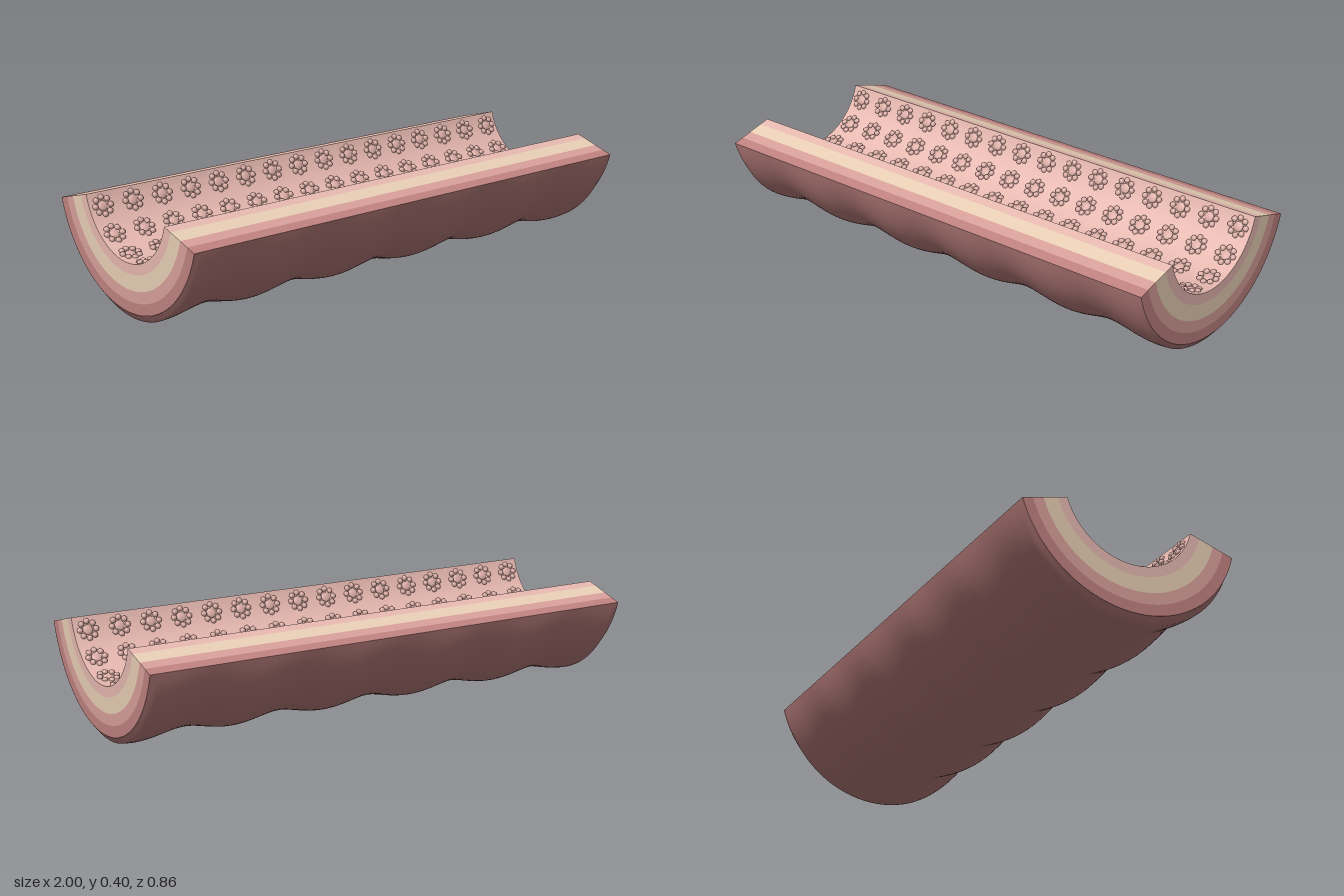
import * as THREE from 'three';
import { mergeGeometries, toCreasedNormals } from 'three/addons/utils/BufferGeometryUtils.js';

const CENTER_Y = 0.473;                       // axis height of the trough
const HALF = THREE.MathUtils.degToRad(74);    // half opening angle, measured from straight down
const OUTER = 0.445, INNER = 0.262;

const mat = (color) => new THREE.MeshStandardMaterial({ color });

// Solid arc band between two radii, running the whole length along x
function band(r0, r1) {
  const down = -Math.PI / 2;
  const shape = new THREE.Shape();
  shape.absarc(0, 0, r1, down - HALF, down + HALF, false);
  shape.absarc(0, 0, r0, down + HALF, down - HALF, true);
  const geo = new THREE.ExtrudeGeometry(shape, { depth: 2, bevelEnabled: false, curveSegments: 48 });
  geo.translate(0, 0, -1).rotateY(Math.PI / 2).translate(0, CENTER_Y, 0);
  return toCreasedNormals(geo, 0.6);
}

// Outer skin: folds swell along the underside and fade out at the rims and ends
function wavySkin() {
  const geo = new THREE.PlaneGeometry(2, 1, 200, 48);
  const p = geo.attributes.position;
  for (let i = 0; i < p.count; i++) {
    const x = p.getX(i), t = p.getY(i) * 2 * HALF;
    const wave = 0.014 * (1 + Math.cos((2 * Math.PI * (x + 0.985)) / 0.385));
    const fade = Math.cos((t / HALF) * Math.PI / 2) * Math.min(1, (1 - Math.abs(x)) / 0.02);
    const r = OUTER + 0.0005 + wave * fade;
    p.setXYZ(i, x, CENTER_Y - r * Math.cos(t), r * Math.sin(t));
  }
  geo.computeVertexNormals();
  return geo;
}

// One rosette: eight beads around a low central dome, lying in the xz plane
function rosette() {
  const parts = [new THREE.SphereGeometry(0.02, 12, 6).scale(1, 0.35, 1)];
  for (let k = 0; k < 8; k++) {
    const a = (k / 8) * Math.PI * 2;
    parts.push(new THREE.SphereGeometry(0.0115, 8, 6)
      .scale(1, 0.8, 1)
      .translate(0.032 * Math.cos(a), 0.003, 0.032 * Math.sin(a)));
  }
  return mergeGeometries(parts);
}

export function createModel() {
  const model = new THREE.Group();
  model.name = 'layeredTrough';
  const add = (name, geo, material) => {
    const mesh = new THREE.Mesh(geo, material);
    mesh.name = name;
    model.add(mesh);
  };

  // Concentric wall layers, inside to outside
  const pink = mat(0xe6b8b0), rose = mat(0xbf8280);
  add('innerLining', band(INNER, 0.301), pink);
  add('creamLayer', band(0.301, 0.36), mat(0xe8cfb5));
  add('middleLayer', band(0.36, 0.403), mat(0xd8a09a));
  add('outerLayer', band(0.403, OUTER), rose);

  const skin = mat(0xb07876);
  skin.side = THREE.DoubleSide;
  add('wavyOuterSkin', wavySkin(), skin);

  // Rosettes in six rows of sixteen on the inner lining
  const unit = rosette();
  const rosettes = [];
  for (let row = 0; row < 6; row++) {
    const t = THREE.MathUtils.degToRad((row - 2.5) * 25);
    for (let col = 0; col < 16; col++) {
      rosettes.push(unit.clone()
        .rotateX(-t)
        .translate((col - 7.5) * 0.126, CENTER_Y - INNER * Math.cos(t), INNER * Math.sin(t)));
    }
  }
  add('beadRosettes', mergeGeometries(rosettes), mat(0xdcaea6));

  return model;
}
